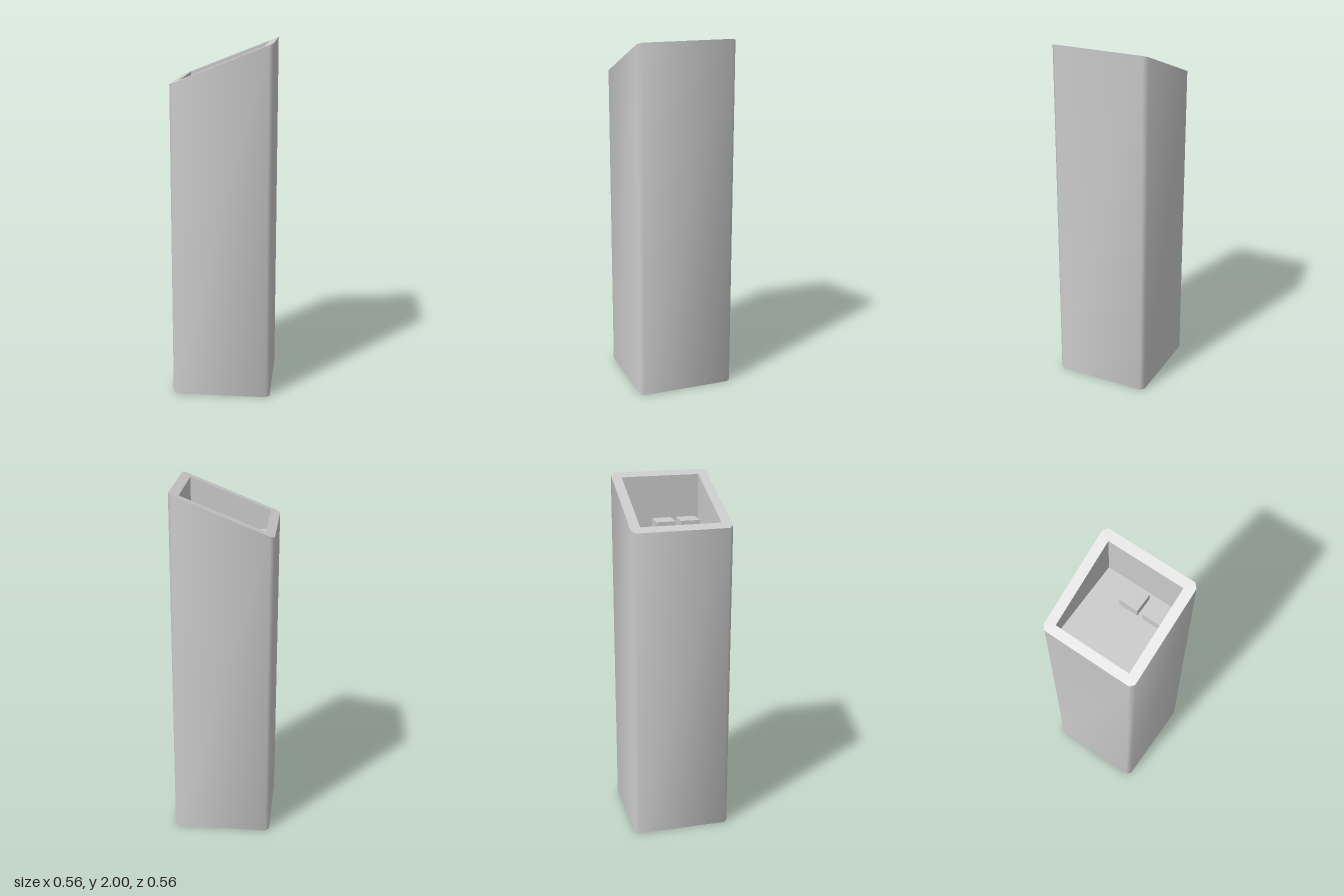
import * as THREE from 'three';
import { toCreasedNormals } from 'three/addons/utils/BufferGeometryUtils.js';

const HALF = 0.278, CHAMFER = 0.022, FLOOR = 1.69;
const material = new THREE.MeshStandardMaterial({ color: 0xcccccc });

// Height of the slanted rim
const rim = (x) => 1.89 + (x * 0.11) / HALF;

// Eight-point chamfered rectangle, counter-clockwise from above
function ring(hx, hz, c, height) {
  return [
    [hx, hz - c], [hx - c, hz], [c - hx, hz], [-hx, hz - c],
    [-hx, c - hz], [c - hx, -hz], [hx - c, -hz], [hx, c - hz],
  ].map(([x, u]) => new THREE.Vector3(x, height(x), -u));
}

// Skin a list of rings, skipping collapsed triangles
function loft(rings) {
  const pos = [];
  const tri = (a, b, c) => {
    if (new THREE.Triangle(a, b, c).getArea() < 1e-7) return;
    for (const p of [a, b, c]) pos.push(p.x, p.y, p.z);
  };
  for (let r = 0; r < rings.length - 1; r++) {
    const a = rings[r], b = rings[r + 1];
    for (let i = 0; i < a.length; i++) {
      const j = (i + 1) % a.length;
      tri(a[i], a[j], b[j]);
      tri(a[i], b[j], b[i]);
    }
  }
  const geo = new THREE.BufferGeometry();
  geo.setAttribute('position', new THREE.Float32BufferAttribute(pos, 3));
  return toCreasedNormals(geo, 0.9);
}

export function createModel() {
  const group = new THREE.Group();

  // Tall column: base, outer walls, slanted rim, recess walls, recess floor
  const column = new THREE.Mesh(loft([
    ring(0, 0, 0, () => 0),
    ring(HALF, HALF, CHAMFER, () => 0),
    ring(HALF, HALF, CHAMFER, rim),
    ring(0.228, 0.222, 0, rim),
    ring(0.228, 0.222, 0, () => FLOOR),
    ring(0, 0, 0, () => FLOOR),
  ]), material);
  column.name = 'column';
  group.add(column);

  // Two small blocks standing on the recess floor
  const blockHeight = 0.057;
  [-0.001, 0.138].forEach((z, i) => {
    const block = new THREE.Mesh(new THREE.BoxGeometry(0.112, blockHeight, 0.11), material);
    block.position.set(0.143, FLOOR + blockHeight / 2, z);
    block.name = i ? 'frontBlock' : 'middleBlock';
    group.add(block);
  });

  return group;
}
